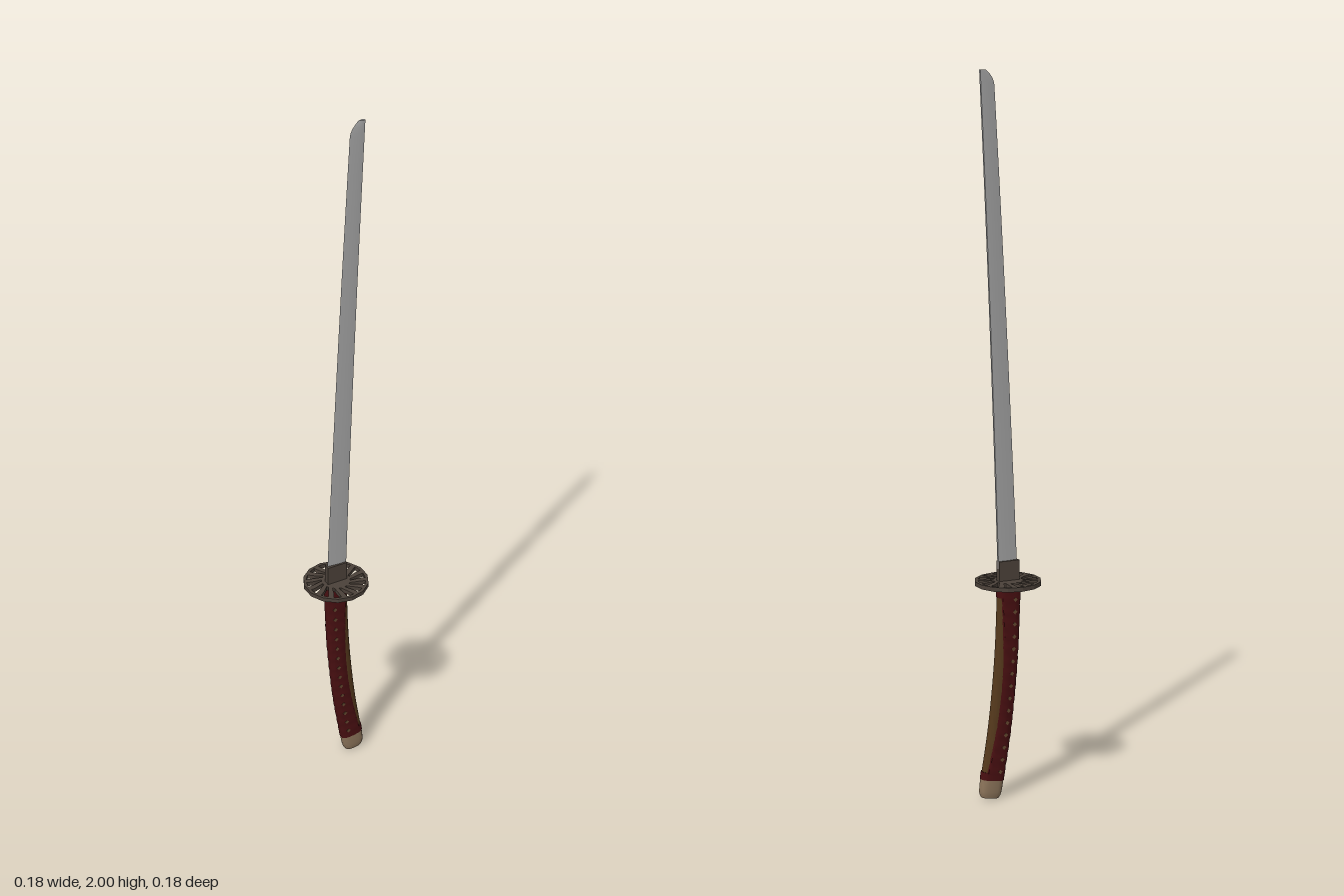
import * as THREE from 'three';
import { toCreasedNormals } from 'three/addons/utils/BufferGeometryUtils.js';

const mat = (name, color, side = THREE.FrontSide) => {
  const m = new THREE.MeshStandardMaterial({ color, side });
  m.name = name;
  return m;
};

// Skin a stack of equal cross-sections (counter-clockwise from above, going up).
function loft(sections, closed = true) {
  const n = sections[0].length, idx = [];
  for (let s = 0; s < sections.length - 1; s++) {
    for (let i = 0; i < (closed ? n : n - 1); i++) {
      const j = (i + 1) % n, a = s * n, b = a + n;
      idx.push(a + i, a + j, b + i, a + j, b + j, b + i);
    }
  }
  if (closed) {
    const top = (sections.length - 1) * n;
    for (let i = 1; i < n - 1; i++) idx.push(0, i + 1, i, top, top + i, top + i + 1);
  }
  const g = new THREE.BufferGeometry();
  g.setAttribute('position', new THREE.Float32BufferAttribute(sections.flat(2), 3));
  g.setIndex(idx);
  return toCreasedNormals(g, 0.6);
}

// Curved centre line of the grip, bottom to top
const grip = new THREE.CatmullRomCurve3([
  [0.057, 0.005], [0.05, 0.055], [0.027, 0.2], [0.007, 0.4], [-0.002, 0.609],
].map(([x, y]) => new THREE.Vector3(x, y, 0)));

// Point on the grip: height t, angle a (0 = +x, the back of the grip), sizes
function gripPoint(t, a, w, d) {
  const c = grip.getPointAt(t), tan = grip.getTangentAt(t);
  const sq = (v) => Math.sign(v) * Math.pow(Math.abs(v), 0.7);
  const u = sq(Math.cos(a)) * w;
  return [c.x + tan.y * u, c.y - tan.x * u, -sq(Math.sin(a)) * d];
}

function gripLoft(t0, t1, steps, size) {
  const rows = [];
  for (let s = 0; s <= steps; s++) {
    const t = t0 + (t1 - t0) * s / steps, [w, d] = size(s / steps), row = [];
    for (let i = 0; i < 20; i++) row.push(gripPoint(t, i / 20 * Math.PI * 2, w, d));
    rows.push(row);
  }
  return loft(rows);
}

export function createModel() {
  const steel = mat('steel', 0xa2a2a2);
  const iron = mat('dark iron', 0x4b4139);
  const leather = mat('brown grip', 0x55391c);
  const cord = mat('dark red cord', 0x480f11, THREE.DoubleSide);
  const horn = mat('tan pommel', 0x8c745a);
  const inlay = mat('wrap diamonds', 0x63482f);

  const model = new THREE.Group();
  model.name = 'sword';
  const add = (name, geometry, material, parent = model) => {
    const m = new THREE.Mesh(geometry, material);
    m.name = name;
    parent.add(m);
    return m;
  };

  // Blade: cutting edge on -x, flat spine on +x, rounded slanting tip
  const rows = [];
  const bladeRow = (y, cut) => {
    const t = (y - 0.62) / 1.38;
    const c = 0.062 * t * (0.8 + 0.2 * t), w = 0.029 - 0.009 * t;
    const r = c + w, l = c - w + cut, ridge = r - (r - l) * 0.4;
    rows.push([[r, y, 0.0035], [r, y, -0.0035], [ridge, y, -0.004], [l, y, 0], [ridge, y, 0.004]]);
  };
  for (let i = 0; i <= 14; i++) bladeRow(0.62 + 1.34 * i / 14, 0);
  for (let i = 1; i <= 5; i++) bladeRow(1.96 + 0.04 * i / 5, 0.022 * Math.pow(i / 5, 2));
  add('blade', loft(rows), steel);

  // Collar between blade and guard
  add('bladeCollar', new THREE.BoxGeometry(0.06, 0.06, 0.018), iron).position.set(0, 0.645, 0);

  // Round guard pierced by swirling slots
  const SLOTS = 14;
  const polar = (r, a) => new THREE.Vector2(r * Math.cos(a), r * Math.sin(a));
  const rim = [];
  for (let i = 0; i < SLOTS; i++) rim.push(polar(0.092, (i + 0.5) / SLOTS * Math.PI * 2));
  const disc = new THREE.Shape(rim);
  for (let k = 0; k < SLOTS; k++) {
    const a = k / SLOTS * Math.PI * 2, near = [], far = [];
    for (let i = 0; i <= 4; i++) {
      const f = i / 4, r = 0.04 + 0.043 * f;
      const swirl = 0.22 * f + 0.06 * Math.sin(f * Math.PI);
      const half = 0.08 + 0.05 * f;
      near.push(polar(r, a + swirl - half));
      far.unshift(polar(r, a + swirl + half));
    }
    disc.holes.push(new THREE.Path([...near, ...far]));
  }
  const guard = new THREE.ExtrudeGeometry(disc, { depth: 0.012, bevelEnabled: false });
  guard.rotateX(-Math.PI / 2).translate(0, 0.608, 0);
  add('guard', guard, iron);

  // Grip core, end bands and pommel
  const handle = new THREE.Group();
  handle.name = 'handle';
  model.add(handle);
  add('gripCore', gripLoft(0.08, 0.998, 20, () => [0.0325, 0.0165]), leather, handle);
  add('upperBand', gripLoft(0.94, 0.995, 2, () => [0.0345, 0.0185]), cord, handle);
  add('lowerBand', gripLoft(0.085, 0.12, 2, () => [0.0345, 0.0185]), cord, handle);
  add('pommel', gripLoft(0, 0.09, 6, (f) => {
    const k = 0.78 + 0.22 * Math.sqrt(1 - Math.pow(1 - f, 3));
    return [0.033 * k, 0.018 * k];
  }), horn, handle);

  // Cord wrap around the front of the grip, rippled, leaving the back bare
  const WRAPS = 15, wrap = [];
  for (let s = 0; s <= WRAPS * 4; s++) {
    const f = s / (WRAPS * 4), t = 0.1 + 0.86 * f, row = [];
    const start = 0.6 + 0.65 * Math.sin(Math.PI * Math.min(1, f * 0.9 + 0.08));
    const ripple = 0.0012 * Math.abs(Math.sin(f * WRAPS * Math.PI));
    for (let i = 0; i <= 18; i++) {
      const k = i === 0 || i === 18 ? -0.002 : ripple;
      const a = start + (Math.PI * 2 - 2 * start) * i / 18;
      row.push(gripPoint(t, a, 0.0335 + k, 0.0178 + k));
    }
    wrap.push(row);
  }
  add('cordWrap', loft(wrap, false), cord, handle);

  // Diamond openings of the wrap on both faces
  for (let k = 0; k < WRAPS; k++) {
    const t = 0.1 + 0.86 * (k + 0.5) / WRAPS;
    for (const side of [1, -1]) {
      const diamond = new THREE.CylinderGeometry(0.0065, 0.0065, 0.002, 4);
      const d = add('wrapDiamond', diamond, inlay, handle);
      d.rotation.x = Math.PI / 2;
      d.position.set(...gripPoint(t, -side * 1.85, 0.0335, 0.0188));
    }
  }
  return model;
}
